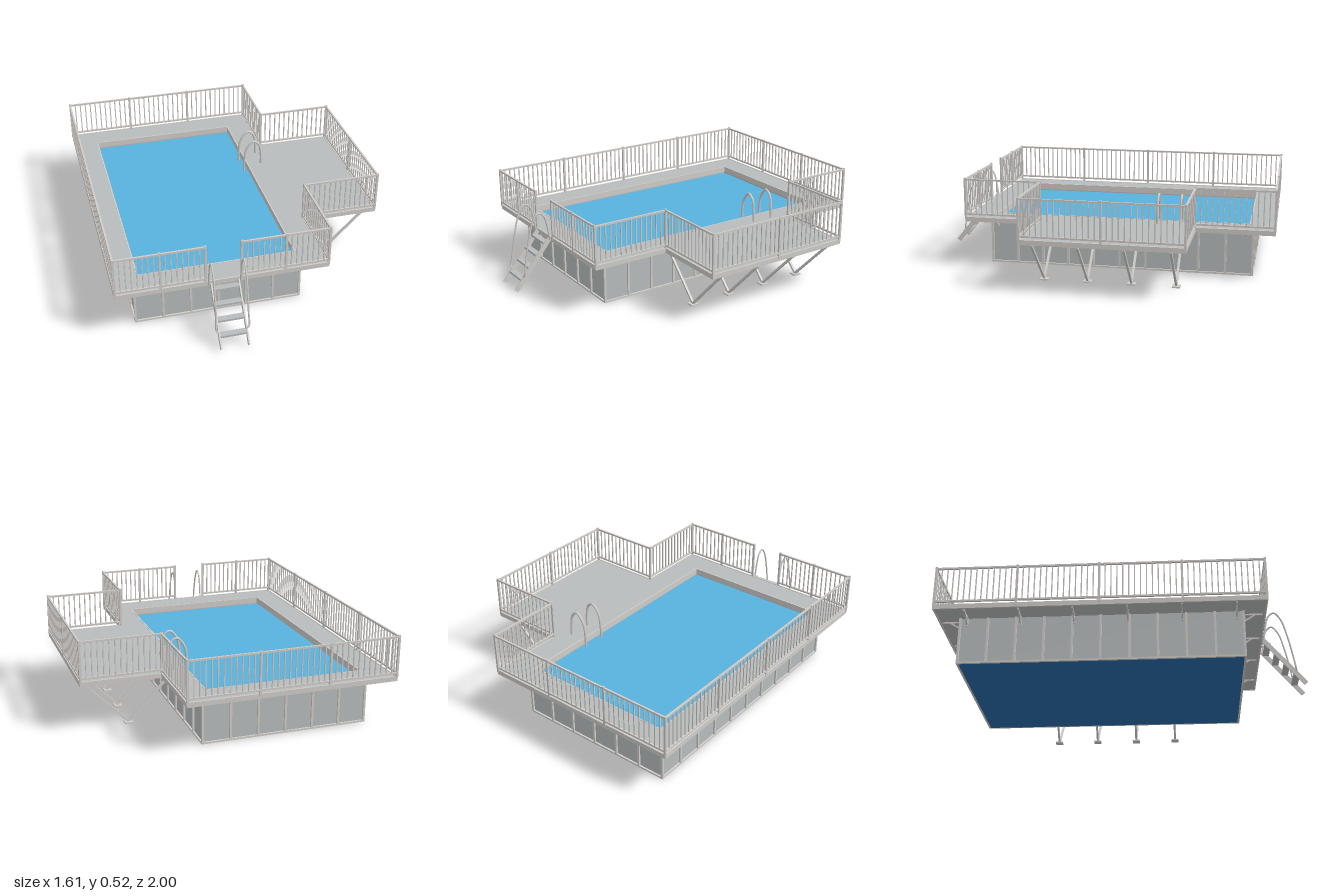
import * as THREE from 'three';
import { mergeGeometries } from 'three/addons/utils/BufferGeometryUtils.js';

const mat = (name, color) => new THREE.MeshStandardMaterial({ name, color });
const panelGrey = mat('panel grey', 0xb8bcbc);
const railGrey = mat('rail grey', 0xd0cdca);
const waterBlue = mat('water blue', 0x57b2dc);
const linerBlue = mat('liner blue', 0x286aa8);

// Axis-aligned box given by its extents
function box(x0, x1, y0, y1, z0, z1) {
  return new THREE.BoxGeometry(x1 - x0, y1 - y0, z1 - z0)
    .translate((x0 + x1) / 2, (y0 + y1) / 2, (z0 + z1) / 2);
}

// Square bar between two points
function bar(a, b, w, d = w) {
  const A = new THREE.Vector3(...a), B = new THREE.Vector3(...b);
  const g = new THREE.BoxGeometry(w, d, A.distanceTo(B));
  const m = new THREE.Matrix4().lookAt(B, A, new THREE.Vector3(0, 1, 0));
  m.setPosition(A.add(B).multiplyScalar(0.5));
  return g.applyMatrix4(m);
}

// Smooth round tube through points
function tube(points, r) {
  const curve = new THREE.CatmullRomCurve3(points.map(p => new THREE.Vector3(...p)));
  return new THREE.TubeGeometry(curve, 36, r, 8);
}

// Deck outline [x, z], clockwise seen from above
const OUTLINE = [
  [-0.80, 0.755], [-0.80, -0.995], [0.36, -0.995], [0.36, -0.56],
  [0.80, -0.56], [0.80, 0.315], [0.36, 0.315], [0.36, 0.755],
];
const POOL = { x0: -0.69, x1: 0.245, z0: -0.88, z1: 0.642 };
const HOLE = { x0: -0.655, x1: 0.213, z0: -0.852, z1: 0.608 };

export function createModel() {
  const model = new THREE.Group();
  model.name = 'raisedPool';
  const add = (name, parts, material) => {
    const mesh = new THREE.Mesh(Array.isArray(parts) ? mergeGeometries(parts) : parts, material);
    mesh.name = name;
    model.add(mesh);
  };
  const { x0, x1, z0, z1 } = POOL;

  // Pool walls, set back behind the ribs
  const t = 0.028, inset = 0.01;
  add('poolWalls', [
    box(x0 + inset, x1 - inset, 0.002, 0.27, z1 - t, z1 - inset),
    box(x0 + inset, x1 - inset, 0.002, 0.27, z0 + inset, z0 + t),
    box(x0 + inset, x0 + t, 0.002, 0.27, z0 + t, z1 - t),
    box(x1 - t, x1 - inset, 0.002, 0.27, z0 + t, z1 - t),
  ], panelGrey);

  // Upright ribs and base rim
  const ribs = [];
  const w = 0.006;
  for (let i = 0; i <= 6; i++) {
    const x = x0 + w + (x1 - x0 - 2 * w) * i / 6;
    for (const z of [z0 + w, z1 - w]) ribs.push(box(x - w, x + w, 0, 0.268, z - w, z + w));
  }
  for (let i = 1; i < 10; i++) {
    const z = z0 + w + (z1 - z0 - 2 * w) * i / 10;
    for (const x of [x0 + w, x1 - w]) ribs.push(box(x - w, x + w, 0, 0.268, z - w, z + w));
  }
  for (const z of [z0, z1 - 2 * w]) ribs.push(box(x0, x1, 0, 0.01, z, z + 2 * w));
  for (const x of [x0, x1 - 2 * w]) ribs.push(box(x, x + 2 * w, 0, 0.01, z0, z1));
  add('wallRibs', ribs, railGrey);

  // Pool floor and water
  add('poolFloor', box(x0 + 2 * w, x1 - 2 * w, 0, 0.008, z0 + 2 * w, z1 - 2 * w), linerBlue);
  add('water', box(x0 + 0.02, x1 - 0.02, 0.242, 0.247, z0 + 0.02, z1 - 0.02), waterBlue);

  // Deck with pool opening
  const shape = new THREE.Shape(OUTLINE.map(([x, z]) => new THREE.Vector2(x, -z)));
  const { x0: hx0, x1: hx1, z0: hz0, z1: hz1 } = HOLE;
  shape.holes.push(new THREE.Path([[hx0, hz0], [hx1, hz0], [hx1, hz1], [hx0, hz1]]
    .map(([x, z]) => new THREE.Vector2(x, -z))));
  const deck = new THREE.ExtrudeGeometry(shape, { depth: 0.022, bevelEnabled: false });
  deck.rotateX(-Math.PI / 2).translate(0, 0.268, 0);
  add('deck', deck, panelGrey);

  // Rim trim around the opening
  const e = 0.006;
  add('openingTrim', [
    box(hx0 - e, hx1 + e, 0.255, 0.292, hz0 - e, hz0 + 0.001), box(hx0 - e, hx1 + e, 0.255, 0.292, hz1 - 0.001, hz1 + e),
    box(hx0 - e, hx0 + 0.001, 0.255, 0.292, hz0, hz1), box(hx1 - 0.001, hx1 + e, 0.255, 0.292, hz0, hz1),
  ], railGrey);

  // Fascia boards along the deck edge
  add('deckFascia', OUTLINE.map(([x, z], i) => {
    const [u, v] = OUTLINE[(i + 1) % OUTLINE.length], h = 0.004;
    return box(Math.min(x, u) - h, Math.max(x, u) + h, 0.266, 0.293, Math.min(z, v) - h, Math.max(z, v) + h);
  }), railGrey);

  // Railings: posts, top and bottom rails, balusters
  const railing = (name, a, b, bays) => {
    const parts = [];
    const at = s => [a[0] + (b[0] - a[0]) * s, a[1] + (b[1] - a[1]) * s];
    const len = Math.hypot(b[0] - a[0], b[1] - a[1]);
    const n = Math.round(len / bays / 0.031);
    for (let i = 0; i <= bays * n; i++) {
      const [x, z] = at(i / (bays * n));
      const post = i % n === 0, h = post ? 0.006 : 0.003;
      parts.push(box(x - h, x + h, post ? 0.28 : 0.31, post ? 0.52 : 0.51, z - h, z + h));
    }
    for (const y of [0.311, 0.511]) parts.push(bar([a[0], y, a[1]], [b[0], y, b[1]], 0.01));
    add(name, parts, railGrey);
  };
  railing('leftRailing', OUTLINE[0], OUTLINE[1], 4);
  railing('backRailing', OUTLINE[1], OUTLINE[2], 3);
  railing('rearSideRailing', OUTLINE[2], OUTLINE[3], 1);
  railing('platformBackRailing', OUTLINE[3], OUTLINE[4], 1);
  railing('platformOuterRailing', OUTLINE[4], OUTLINE[5], 2);
  railing('platformFrontRailing', OUTLINE[5], OUTLINE[6], 1);
  railing('frontSideRailing', OUTLINE[6], OUTLINE[7], 1);
  railing('frontRailingA', OUTLINE[7], [-0.125, 0.755], 2);
  railing('frontRailingB', [-0.32, 0.755], OUTLINE[0], 2);

  // Wall brackets carrying the deck overhang
  const brackets = [];
  const bracket = (x, z, dx, dz) => {
    brackets.push(bar([x, 0.225, z], [x + dx * 0.065, 0.268, z + dz * 0.065], 0.008));
    brackets.push(bar([x, 0.264, z], [x + dx * 0.1, 0.264, z + dz * 0.1], 0.008));
    brackets.push(box(x - 0.005, x + 0.005, 0.218, 0.268, z - 0.005, z + 0.005));
  };
  for (let i = 0; i < 4; i++) {
    const x = -0.645 + i * 0.282;
    bracket(x, z1, 0, 1);
    bracket(x, z0, 0, -1);
  }
  for (let i = 0; i < 6; i++) {
    const z = 0.6 - i * 0.287;
    bracket(x0, z, -1, 0);
    if (z > 0.32 || z < -0.56) bracket(x1, z, 1, 0);
  }
  add('deckBrackets', brackets, railGrey);

  // V-shaped frames and joists under the side platform
  const frames = [];
  for (const z of [0.25, 0.005, -0.24, -0.485]) {
    frames.push(bar([0.275, 0.264, z], [0.53, 0.008, z], 0.012));
    frames.push(bar([0.785, 0.264, z], [0.53, 0.008, z], 0.012));
    frames.push(box(x1, 0.795, 0.258, 0.268, z - 0.006, z + 0.006));
    frames.push(box(0.508, 0.552, 0, 0.008, z - 0.022, z + 0.022));
  }
  for (const x of [0.30, 0.415, 0.53, 0.645, 0.76]) frames.push(box(x - 0.005, x + 0.005, 0.26, 0.269, -0.555, 0.31));
  add('platformFrames', frames, railGrey);

  // Entry ladder at the front
  const steps = [], stringers = [], grips = [];
  for (let i = 0; i < 4; i++) {
    const z = 0.79 + i * 0.05, y = 0.263 - i * 0.0635;
    steps.push(box(-0.292, -0.148, y - 0.006, y + 0.006, z - 0.018, z + 0.018));
  }
  for (const x of [-0.296, -0.146]) {
    stringers.push(bar([x, 0.285, 0.767], [x, 0.014, 0.988], 0.008, 0.026));
    const s = x < -0.2 ? -0.012 : 0.012;
    grips.push(tube([[x, 0.09, 0.94], [x + s, 0.10, 0.938], [x + s, 0.19, 0.924], [x + s, 0.31, 0.9],
      [x + s, 0.41, 0.87], [x + s, 0.452, 0.833], [x + s, 0.425, 0.80], [x + s, 0.37, 0.784],
      [x + s, 0.28, 0.77]], 0.005));
  }
  add('ladderSteps', steps, panelGrey);
  add('ladderStringers', stringers, railGrey);
  add('ladderHandrails', grips, railGrey);

  // Arched grab rails at the pool edge
  add('poolGrabRails', [-0.475, -0.345].map(z => tube([[0.193, 0.24, z], [0.193, 0.32, z], [0.207, 0.40, z],
    [0.25, 0.449, z], [0.285, 0.425, z], [0.299, 0.36, z], [0.301, 0.285, z]], 0.007)), railGrey);

  return model;
}
